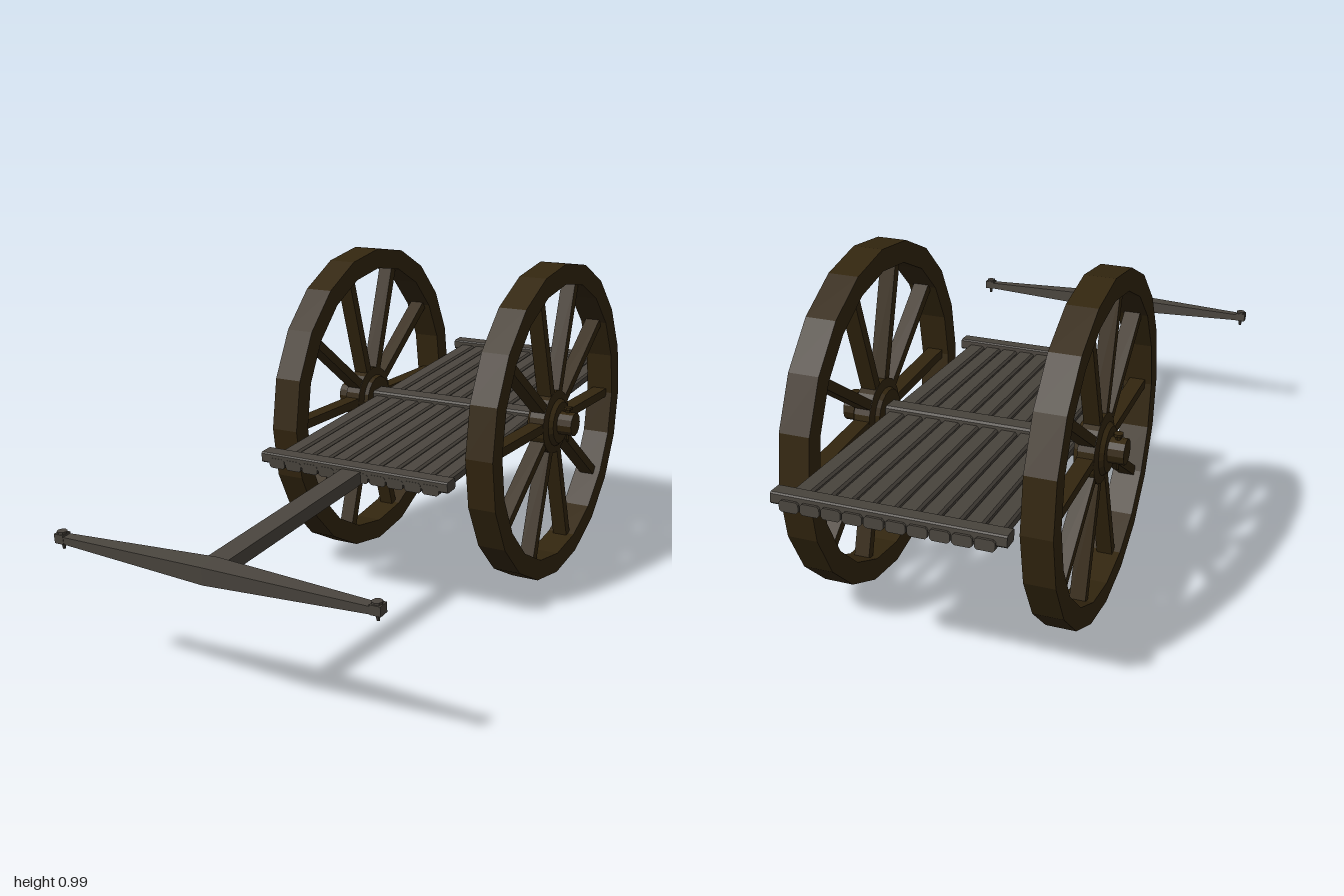
import * as THREE from 'three';

const wood = new THREE.MeshStandardMaterial({ color: 0x4a453e, flatShading: true });
const darkWood = new THREE.MeshStandardMaterial({ color: 0x33260f, flatShading: true });

function add(parent, name, geometry, material, x = 0, y = 0, z = 0) {
  const mesh = new THREE.Mesh(geometry, material);
  mesh.name = name;
  mesh.position.set(x, y, z);
  parent.add(mesh);
  return mesh;
}

// Beam along z with chamfered long edges
function beam(width, height, length, chamfer = 0.006) {
  const w = width / 2, h = height / 2, c = chamfer;
  const shape = new THREE.Shape([
    [-w + c, -h], [w - c, -h], [w, -h + c], [w, h - c],
    [w - c, h], [-w + c, h], [-w, h - c], [-w, -h + c],
  ].map(([x, y]) => new THREE.Vector2(x, y)));
  return new THREE.ExtrudeGeometry(shape, { depth: length, bevelEnabled: false }).translate(0, 0, -length / 2);
}

// Profile of [radius, position] turned around the x axis
function turned(profile, sides) {
  const points = profile.map(([r, a]) => new THREE.Vector2(r, a));
  return new THREE.LatheGeometry(points, sides).rotateZ(-Math.PI / 2);
}

// Tapered peg with a flat head
function addPeg(parent, name, material, x, y, z, length) {
  const peg = new THREE.Group();
  peg.name = name;
  peg.position.set(x, y, z);
  add(peg, 'pegShaft', new THREE.CylinderGeometry(0.009, 0.004, length, 8), material);
  add(peg, 'pegHead', new THREE.CylinderGeometry(0.014, 0.014, 0.008, 8), material, 0, length / 2, 0);
  parent.add(peg);
}

// Wheel centred on its own hub, outer side towards +x
function createWheel(name) {
  const wheel = new THREE.Group();
  wheel.name = name;
  const h = 0.043;
  add(wheel, 'rim', turned([[0.432, -h], [0.495, -h], [0.495, h], [0.432, h], [0.432, -h]], 20), darkWood);
  add(wheel, 'hub', turned([
    [0, -0.042], [0.07, -0.042], [0.075, -0.03], [0.1, -0.024],
    [0.1, 0.024], [0.075, 0.03], [0.065, 0.042], [0, 0.042],
  ], 20), darkWood);
  add(wheel, 'axleEnd', turned([[0, 0.03], [0.037, 0.03], [0.037, 0.088], [0, 0.088]], 12), darkWood);
  addPeg(wheel, 'linchpin', darkWood, 0.063, -0.005, 0, 0.108);
  for (let i = 0; i < 10; i++) {
    const spoke = new THREE.BoxGeometry(0.046, 0.028, 0.37).translate(0, 0, 0.255);
    add(wheel, 'spoke', spoke, darkWood).rotation.x = i * Math.PI / 5;
  }
  return wheel;
}

export function createModel() {
  const cart = new THREE.Group();
  cart.name = 'handcart';

  // Wheels
  for (const side of [1, -1]) {
    const wheel = createWheel(side > 0 ? 'leftWheel' : 'rightWheel');
    wheel.position.set(side * 0.328, 0.495, -0.347);
    if (side < 0) wheel.rotation.y = Math.PI;
    cart.add(wheel);
  }

  // Bed, pole and handle share one slope, falling towards the front
  const bed = new THREE.Group();
  bed.name = 'bed';
  bed.position.set(0, 0.497, -0.345);
  bed.rotation.x = 0.087;
  cart.add(bed);

  for (let i = 0; i < 10; i++) {
    add(bed, 'plank', beam(0.052, 0.03, 1.302), wood, (i - 4.5) * 0.0565, 0, -0.004);
  }
  add(bed, 'axle', beam(0.062, 0.058, 0.58).rotateY(Math.PI / 2), wood);
  for (const z of [0.622, -0.624]) {
    add(bed, z > 0 ? 'frontCrossbar' : 'backCrossbar',
      beam(0.048, 0.032, 0.615, 0.004).rotateY(Math.PI / 2), wood, 0, 0.013, z);
  }

  // Pole
  add(bed, 'pole', new THREE.BoxGeometry(0.062, 0.038, 0.7), wood, 0, 0, 0.98);

  // Handle, thick in the middle and tapering to both ends
  const handle = new THREE.BoxGeometry(0.96, 0.048, 0.066, 2, 1, 1);
  const p = handle.attributes.position;
  for (let i = 0; i < p.count; i++) {
    const k = 1 - 0.6 * Math.abs(p.getX(i)) / 0.48;
    p.setY(i, p.getY(i) * k);
    p.setZ(i, p.getZ(i) * k);
  }
  add(bed, 'handle', handle, wood, 0, 0, 1.311);
  for (const side of [1, -1]) {
    add(bed, 'handleTip', new THREE.BoxGeometry(0.03, 0.026, 0.03), wood, side * 0.475, 0.002, 1.311);
    addPeg(bed, 'handlePeg', wood, side * 0.474, -0.006, 1.311, 0.046);
  }
  return cart;
}
